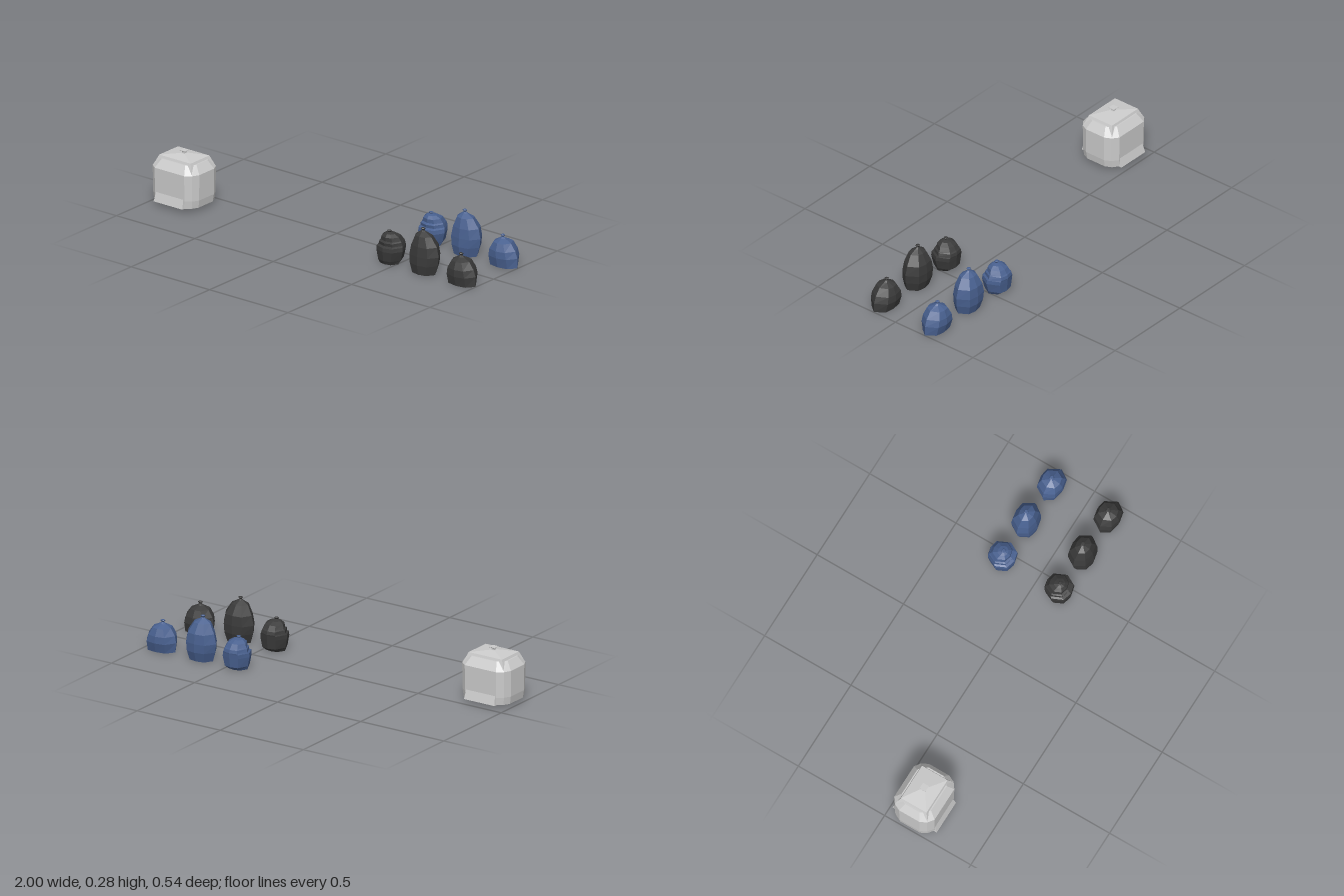
import * as THREE from 'three';

// Plan outlines, counter-clockwise from above, starting at the front (+z)
const bagPlan = [[0, 1], [0.62, 0.82], [1, 0.05], [0.6, -0.86], [0, -1], [-0.62, -0.86], [-1, -0.02], [-0.66, 0.8]];
const knotPlan = [[0, 1], [0.87, 0.5], [0.87, -0.5], [0, -1], [-0.87, -0.5], [-0.87, 0.5]];
const squarePlan = [[-1, 1], [1, 1], [1, -1], [-1, -1]];
const sackPlan = [
  [-0.66, 1], [0.66, 1], [0.88, 0.8], [1, 0.5], [1, -0.5], [0.88, -0.8],
  [0.66, -1], [-0.66, -1], [-0.88, -0.8], [-1, -0.5], [-1, 0.5], [-0.88, 0.8],
];

// Faceted skin through stacked rings [y, xMin, xMax, zMin, zMax], capped at both ends
function loft(name, plan, rings, material) {
  const pos = [];
  const tri = (...pts) => pts.forEach((p) => pos.push(...p));
  const loops = rings.map(([y, x0, x1, z0, z1]) => plan.map(([u, v]) =>
    [(x0 + x1) / 2 + u * (x1 - x0) / 2, y, (z0 + z1) / 2 + v * (z1 - z0) / 2]));
  const n = plan.length;
  const last = loops.length - 1;
  for (let j = 0; j < n; j++) {
    const k = (j + 1) % n;
    for (let i = 0; i < last; i++) {
      const a = loops[i], b = loops[i + 1];
      tri(a[j], a[k], b[k]);
      tri(a[j], b[k], b[j]);
    }
    if (j > 0 && j < n - 1) {
      tri(loops[0][0], loops[0][k], loops[0][j]);
      tri(loops[last][0], loops[last][j], loops[last][k]);
    }
  }
  const geometry = new THREE.BufferGeometry();
  geometry.setAttribute('position', new THREE.Float32BufferAttribute(pos, 3));
  geometry.computeVertexNormals();
  const mesh = new THREE.Mesh(geometry, material);
  mesh.name = name;
  return mesh;
}

// Ring of equal half sizes around a centre
const ring = (y, x, z, hx, hz = hx) => [y, x - hx, x + hx, z - hz, z + hz];

// Rings for the three bag shapes, with z relative to the row
const bags = [
  {
    name: 'foldedBag', x: 0.447, top: 0.168,
    rings: [
      [0, 0.395, 0.505, -0.045, 0.045], [0.02, 0.387, 0.515, -0.07, 0.055],
      [0.07, 0.377, 0.529, -0.075, 0.062], [0.09, 0.378, 0.526, -0.077, 0.06],
      [0.096, 0.384, 0.52, -0.078, 0.045], [0.112, 0.387, 0.515, -0.074, 0.048],
      [0.118, 0.392, 0.51, -0.068, 0.036], [0.138, 0.4, 0.5, -0.055, 0.036],
      [0.152, 0.418, 0.478, -0.03, 0.022], [0.158, 0.441, 0.453, -0.006, 0.006],
    ],
  },
  {
    name: 'tallBag', x: 0.662, top: 0.232,
    rings: [
      [0, 0.602, 0.74, -0.05, 0.052], [0.05, 0.586, 0.755, -0.065, 0.06],
      [0.095, 0.58, 0.76, -0.067, 0.058], [0.145, 0.592, 0.748, -0.062, 0.052],
      [0.195, 0.618, 0.715, -0.036, 0.037], [0.213, 0.645, 0.68, -0.012, 0.012],
      [0.22, 0.656, 0.668, -0.006, 0.006],
    ],
  },
  {
    name: 'squatBag', x: 0.904, top: 0.158,
    rings: [
      [0, 0.828, 0.998, -0.052, 0.053], [0.05, 0.822, 0.998, -0.066, 0.063],
      [0.085, 0.83, 0.985, -0.063, 0.061], [0.122, 0.855, 0.957, -0.048, 0.047],
      [0.138, 0.885, 0.923, -0.014, 0.014], [0.146, 0.898, 0.91, -0.006, 0.006],
    ],
  },
];

function makeBag({ name, x, top, rings }, material) {
  const bag = new THREE.Group();
  bag.name = name;
  bag.add(loft('bagBody', bagPlan, rings, material));
  // Tied tuft flaring out above the neck
  bag.add(loft('bagKnot', knotPlan, [
    ring(top - 0.018, x, 0, 0.006), ring(top - 0.011, x, 0, 0.006),
    ring(top - 0.003, x, 0, 0.013, 0.011), ring(top, x, 0, 0.009, 0.008),
  ], material));
  return bag;
}

function makeSack(material) {
  const sack = new THREE.Group();
  sack.name = 'largeSack';
  const x = -0.857, z = 0.143;
  sack.add(loft('sackBody', sackPlan, [
    ring(0.02, x, z, 0.136, 0.112), ring(0.06, x, z, 0.142, 0.115),
    ring(0.195, x, z, 0.143, 0.117), ring(0.238, x, z, 0.113, 0.085),
  ], material));
  // Shallow roof with pulled-in corners
  sack.add(loft('sackTop', squarePlan, [
    ring(0.2, x, z, 0.122, 0.092), ring(0.25, x, z, 0.1, 0.074), ring(0.262, x, z, 0.014),
  ], material));
  // Hem flaring at the front and back
  for (const s of [1, -1]) {
    sack.add(loft('hem', squarePlan, [
      ring(0.02, x, z + s * 0.105, 0.092, 0.023), ring(0.068, x, z + s * 0.095, 0.086, 0.02),
    ], material));
  }
  sack.add(loft('sackKnot', squarePlan, [
    ring(0.255, x, z, 0.008), ring(0.27, x, z, 0.008), ring(0.276, x, z, 0.017), ring(0.278, x, z, 0.017),
  ], material));
  return sack;
}

export function createModel() {
  const model = new THREE.Group();
  model.name = 'refuseBags';
  const paint = (color) => new THREE.MeshStandardMaterial({ color, flatShading: true });
  model.add(makeSack(paint(0xcccccc)));
  // The same three bags in a dark row and a blue row behind
  for (const [name, color, z] of [['darkRow', 0x3a3a3a, 0.137], ['blueRow', 0x48608f, -0.191]]) {
    const row = new THREE.Group();
    row.name = name;
    row.position.z = z;
    const material = paint(color);
    bags.forEach((bag) => row.add(makeBag(bag, material)));
    model.add(row);
  }
  return model;
}
